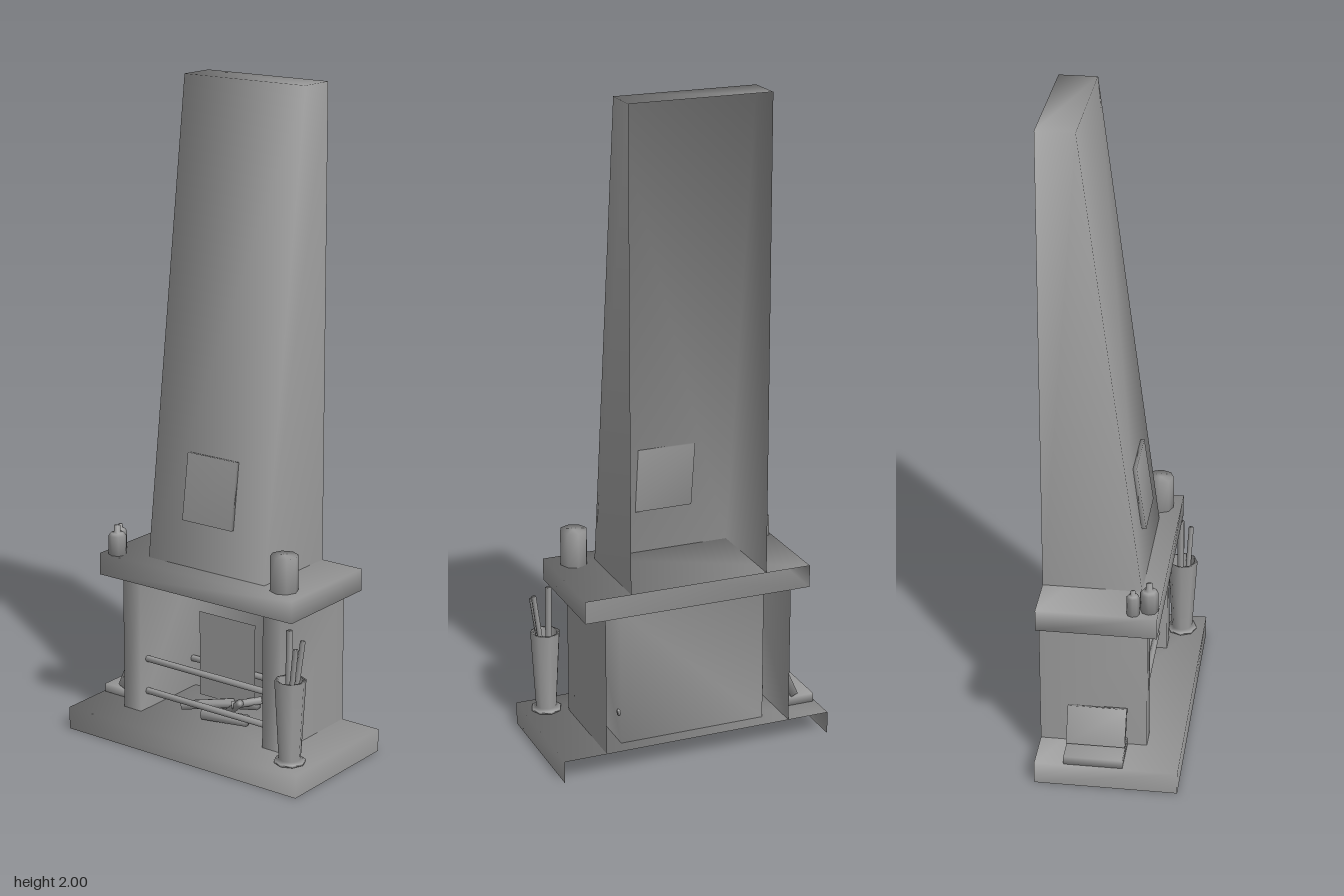
import * as THREE from 'three';
import { mergeVertices } from 'three/addons/utils/BufferGeometryUtils.js';

const stone = new THREE.MeshStandardMaterial({ color: 0x999999, side: THREE.DoubleSide });
const BACK = -0.215;

export function createModel() {
  const root = new THREE.Group();

  const add = (name, geometry, x = 0, y = 0, z = 0) => {
    const mesh = new THREE.Mesh(geometry, stone);
    mesh.name = name;
    mesh.position.set(x, y, z);
    root.add(mesh);
    return mesh;
  };

  // Weld all corners so the shading runs smoothly round every edge
  const soft = geometry => {
    geometry.deleteAttribute('normal');
    geometry.deleteAttribute('uv');
    const welded = mergeVertices(geometry);
    welded.computeVertexNormals();
    return welded;
  };
  const box = (w, h, d) => soft(new THREE.BoxGeometry(w, h, d));
  const cylinder = (r1, r0, h, sides) => soft(new THREE.CylinderGeometry(r1, r0, h, sides));

  // Wall strip through plan points [x, z] from y0 to y1, with optional caps.
  // Corner normals average the faces regardless of size, caps counting half.
  const shell = (name, low, high, y0, y1, top = false, bottom = false) => {
    const n = low.length;
    const points = [...low.map(([x, z]) => [x, y0, z]), ...high.map(([x, z]) => [x, y1, z])]
      .map(p => new THREE.Vector3(...p));
    const normals = points.map(() => new THREE.Vector3());
    const index = [];
    const face = (a, b, c, weight) => {
      index.push(a, b, c);
      const normal = new THREE.Triangle(points[a], points[b], points[c]).getNormal(new THREE.Vector3());
      for (const i of [a, b, c]) normals[i].addScaledVector(normal, weight);
    };
    for (let i = 0; i < n - 1; i++) {
      face(i, i + 1, n + i + 1, 1);
      face(i, n + i + 1, n + i, 1);
    }
    if (top) { face(n, n + 1, n + 2, 0.5); face(n, n + 2, n + 3, 0.5); }
    if (bottom) { face(0, 2, 1, 0.5); face(0, 3, 2, 0.5); }
    const g = new THREE.BufferGeometry().setFromPoints(points);
    g.setAttribute('normal', new THREE.Float32BufferAttribute(
      normals.flatMap(v => v.normalize().toArray()), 3));
    g.setIndex(index);
    return add(name, g);
  };

  // Three-sided plan, open at the wall
  const plan = (w, front) => [[-w, BACK], [-w, front], [w, front], [w, BACK]];

  // Straight rod between two points
  const rod = (name, a, b, r) => {
    const from = new THREE.Vector3(...a), to = new THREE.Vector3(...b);
    const dir = to.clone().sub(from);
    const mesh = add(name, cylinder(r, r, dir.length(), 6));
    mesh.position.copy(from).add(to).multiplyScalar(0.5);
    mesh.quaternion.setFromUnitVectors(new THREE.Vector3(0, 1, 0), dir.normalize());
  };

  const lathe = (name, profile, x, y, z) =>
    add(name, new THREE.LatheGeometry(profile.map(p => new THREE.Vector2(...p)), 8), x, y, z);

  // Masonry
  shell('hearth', plan(0.427, 0.215), plan(0.427, 0.215), 0, 0.07, true);
  const firebox = [
    [-0.295, BACK], [-0.295, 0.108], [-0.23, 0.108], [-0.23, -0.165],
    [0.23, -0.165], [0.23, 0.108], [0.295, 0.108], [0.295, BACK],
  ];
  shell('firebox', firebox, firebox, 0.07, 0.497);
  shell('mantel', plan(0.357, 0.143), plan(0.357, 0.143), 0.497, 0.565, true, true);
  shell('chimneyHood', plan(0.215, 0.082), plan(0.215, -0.102), 0.565, 2, true);

  // Picture leaning against the hood
  const picture = add('picture', box(0.18, 0.205, 0.018), 0, 0.806, 0.055);
  picture.rotation.x = -0.14;

  // Flame panel, grate and logs
  add('flamePanel', new THREE.PlaneGeometry(0.21, 0.27), 0, 0.25, -0.025);
  for (const [y, z] of [[0.233, 0.075], [0.128, 0.075], [0.165, -0.15]])
    rod('grateBar', [-0.235, y, z], [0.235, y, z], 0.01);
  const logs = [
    [[-0.13, 0.09, 0.03], [0.03, 0.12, -0.02], 0.016],
    [[-0.04, 0.09, 0.045], [0.11, 0.095, 0.02], 0.019],
    [[0.0, 0.08, -0.03], [0.09, 0.15, 0.03], 0.013],
    [[-0.06, 0.085, -0.06], [0.11, 0.13, -0.03], 0.016],
    [[0.05, 0.13, 0.02], [0.12, 0.145, -0.04], 0.012],
  ];
  for (const [a, b, r] of logs) rod('log', a, b, r);

  // Fire iron stand with its tools
  lathe('ironStand', [
    [0, 0], [0.047, 0], [0.047, 0.007], [0.033, 0.012], [0.047, 0.255],
    [0.038, 0.255], [0.027, 0.03], [0, 0.03],
  ], 0.355, 0.07, 0.143);
  rod('poker', [0.347, 0.1, 0.14], [0.345, 0.472, 0.135], 0.01);
  rod('tongs', [0.345, 0.1, 0.15], [0.388, 0.432, 0.165], 0.008);
  rod('shovel', [0.345, 0.1, 0.14], [0.392, 0.45, 0.135], 0.008);

  // Ornaments on the mantel
  add('jar', cylinder(0.042, 0.042, 0.107, 8), 0.283, 0.6185, 0.077);
  lathe('largeBottle', [
    [0, 0], [0.027, 0], [0.027, 0.06], [0.02, 0.068], [0.01, 0.07], [0.01, 0.09], [0, 0.092],
  ], -0.31, 0.565, 0.115);
  lathe('smallBottle', [
    [0, 0], [0.019, 0], [0.019, 0.058], [0.014, 0.064], [0.007, 0.066], [0.007, 0.078], [0, 0.08],
  ], -0.335, 0.565, 0.07);

  // Books beside the firebox, one lying and one leaning
  add('lyingBook', box(0.118, 0.032, 0.177), -0.361, 0.081, -0.039);
  const leaning = add('leaningBook', box(0.024, 0.115, 0.177), -0.333, 0.155, -0.039);
  leaning.rotation.z = -0.42;

  return root;
}
